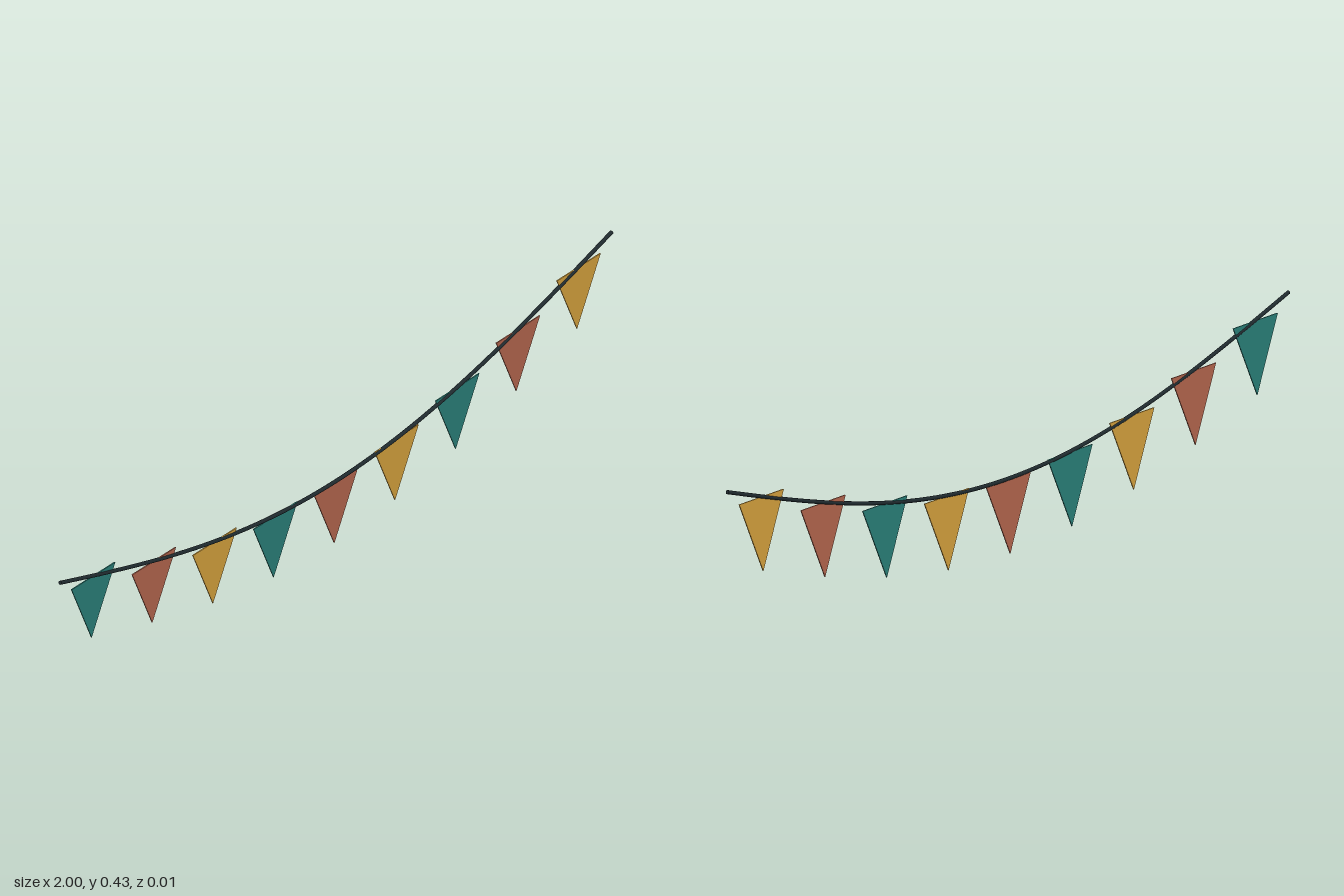
import * as THREE from 'three';

const ROPE_TOP = 0.428, SAG = 0.231, ROPE_RADIUS = 0.0052, ROPE_Z = 0.0017;
const FLAG_WIDTH = 0.158, FLAG_HEIGHT = 0.196, FLAG_DEPTH = 0.003;

// Height of the sagging rope at x
const ropeY = (x) => ROPE_TOP - SAG * Math.cos((x * Math.PI) / 2);

function paint(color) {
  const material = new THREE.MeshStandardMaterial();
  material.color.set(color);
  return material;
}

export function createModel() {
  const bunting = new THREE.Group();
  bunting.name = 'bunting';

  // Rope: tube along the sag, with flat end caps
  const points = [];
  for (let i = 0; i <= 24; i++) {
    const x = (-1 + i / 12) * 0.998;
    points.push(new THREE.Vector3(x, ropeY(x), ROPE_Z));
  }
  const curve = new THREE.CatmullRomCurve3(points);
  const ropeMaterial = paint(0x1f2a2e);
  const rope = new THREE.Mesh(new THREE.TubeGeometry(curve, 64, ROPE_RADIUS, 10), ropeMaterial);
  rope.name = 'rope';
  bunting.add(rope);

  for (const t of [0, 1]) {
    const cap = new THREE.Mesh(new THREE.CircleGeometry(ROPE_RADIUS, 10), ropeMaterial);
    const end = curve.getPointAt(t);
    const outward = curve.getTangentAt(t).multiplyScalar(t ? 1 : -1);
    cap.position.copy(end);
    cap.lookAt(end.clone().add(outward));
    cap.name = t ? 'ropeEndLeft' : 'ropeEndRight';
    bunting.add(cap);
  }

  // Pennants: thin triangles hung from the rope, tips leaning slightly back
  const triangle = new THREE.Shape([
    new THREE.Vector2(-FLAG_WIDTH / 2, 0),
    new THREE.Vector2(0, -FLAG_HEIGHT),
    new THREE.Vector2(FLAG_WIDTH / 2, 0),
  ]);
  const flagGeometry = new THREE.ExtrudeGeometry(triangle, { depth: FLAG_DEPTH, bevelEnabled: false });
  flagGeometry.translate(0, 0, -FLAG_DEPTH / 2);
  const flagMaterials = [0x2a8079, 0xb5664e, 0xd6a23e].map(paint);

  for (let i = 0; i < 9; i++) {
    const x = (i - 4) * 0.2195;
    const flag = new THREE.Mesh(flagGeometry, flagMaterials[i % 3]);
    flag.position.set(x, ropeY(x) - 0.001, 0.001);
    flag.rotation.x = 0.032;
    flag.name = `pennant${i + 1}`;
    bunting.add(flag);
  }

  return bunting;
}
